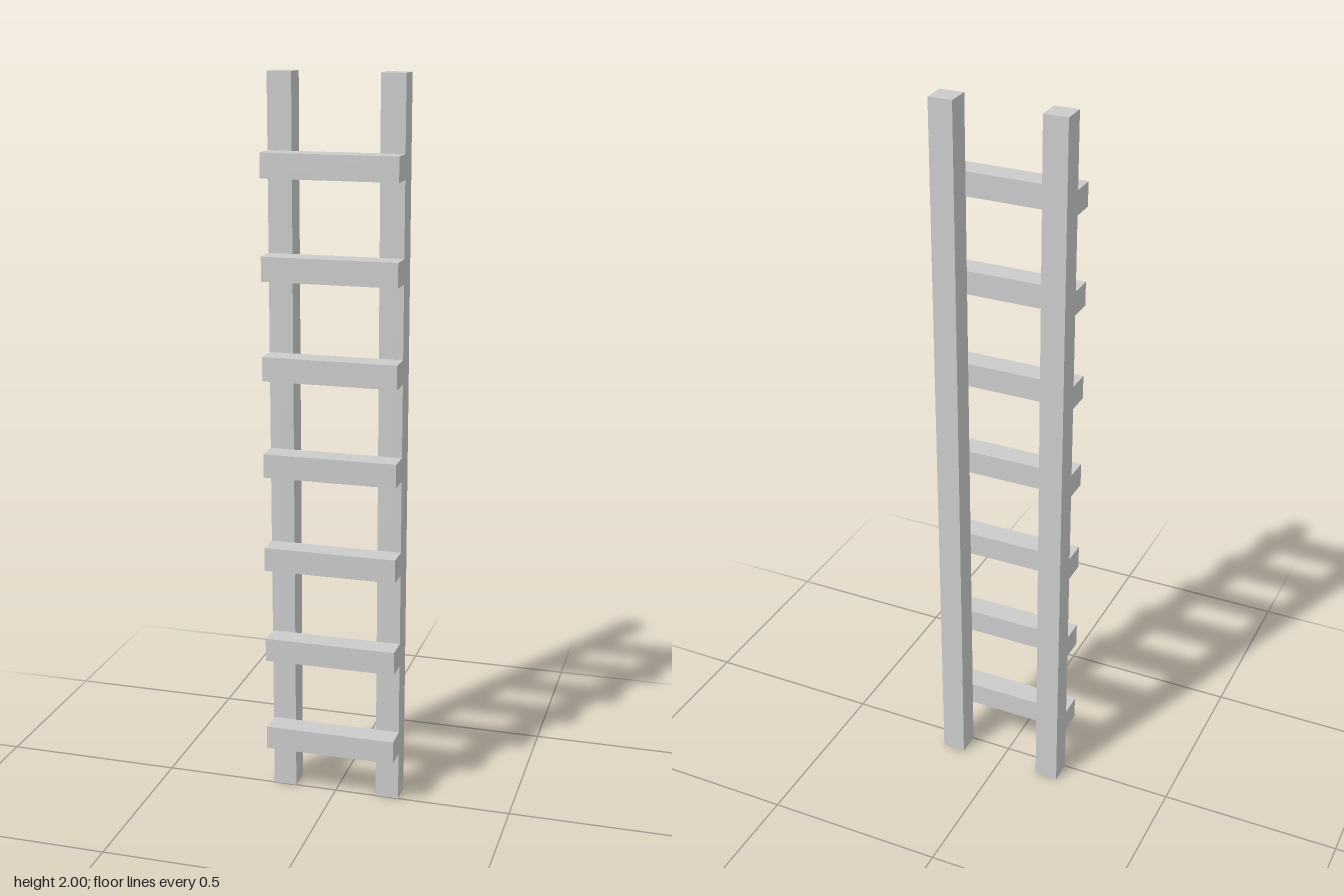
import * as THREE from 'three';

const WIDTH = 0.366;   // overall ladder width
const BEAM = 0.0655;   // square section of rails and rungs
const HEIGHT = 2;
const RUNGS = 7;
const FIRST_RUNG = 0.172;
const RUNG_STEP = 0.266;

export function createModel() {
  const ladder = new THREE.Group();
  ladder.name = 'ladder';
  const material = new THREE.MeshStandardMaterial({ color: 0xcccccc, flatShading: true });

  const addBeam = (name, geometry, x, y, z) => {
    const mesh = new THREE.Mesh(geometry, material);
    mesh.name = name;
    mesh.position.set(x, y, z);
    ladder.add(mesh);
  };

  // Two upright rails at the back
  const railGeometry = new THREE.BoxGeometry(BEAM, HEIGHT, BEAM);
  for (const [name, side] of [['leftRail', 1], ['rightRail', -1]]) {
    addBeam(name, railGeometry, side * (WIDTH - BEAM) / 2, HEIGHT / 2, -BEAM / 2);
  }

  // Rungs fixed across the front of the rails
  const rungGeometry = new THREE.BoxGeometry(WIDTH, BEAM, BEAM);
  for (let i = 0; i < RUNGS; i++) {
    addBeam(`rung${i + 1}`, rungGeometry, 0, FIRST_RUNG + i * RUNG_STEP, BEAM / 2);
  }

  return ladder;
}
